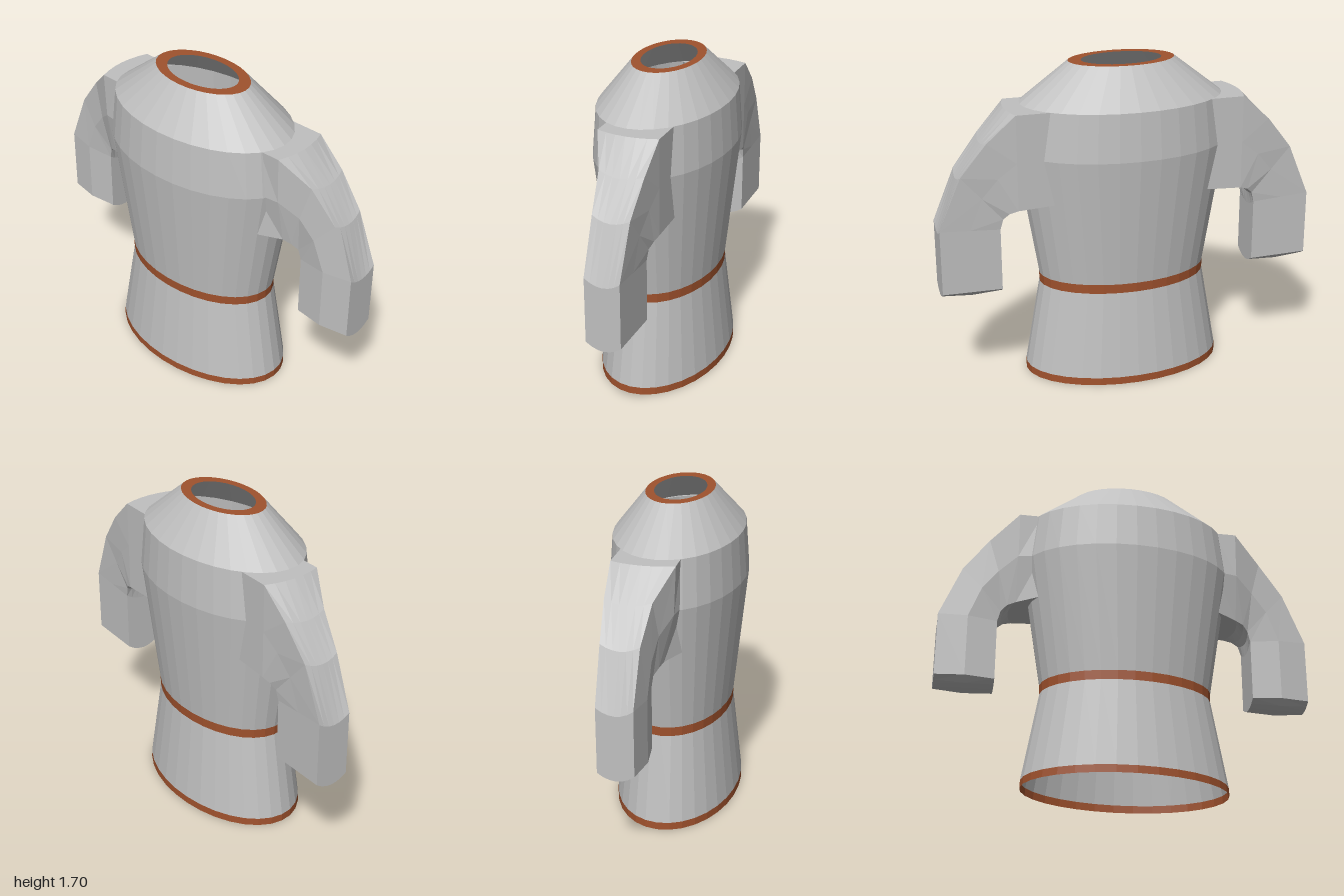
import * as THREE from 'three';

const cloth = new THREE.MeshStandardMaterial({ color: 0xc0c0c0, flatShading: true, side: THREE.DoubleSide });
cloth.name = 'grey cloth';
const trim = new THREE.MeshStandardMaterial({ color: 0xa0522d, flatShading: true, side: THREE.DoubleSide });
trim.name = 'brown trim';

const WIDEN = 1.63; // the torso is an ellipse, wider in x than in z

// Elliptical band of the torso from [depth radius, height] pairs
function band(name, profile, material) {
  const geo = new THREE.LatheGeometry(profile.map(([r, y]) => new THREE.Vector2(r, y)), 32);
  geo.scale(WIDEN, 1, 1);
  const mesh = new THREE.Mesh(geo, material);
  mesh.name = name;
  return mesh;
}

// Sleeve stations: outer edge, inner edge, [front z outer, middle, inner],
// back z, and the direction in which the station bows at mid depth
const STATIONS = [
  { o: [0, 1.5], i: [0, 1.01], f: [0.12, 0.13, 0.13], b: -0.2, bow: [0, 0], onBody: true },
  { o: [0.6, 1.5], i: [0.6, 1.0], f: [0.12, 0.11, 0.06], b: -0.2, bow: [0.03, 0] },
  { o: [0.75, 1.365], i: [0.645, 0.985], f: [0.045, 0.06, 0.045], b: -0.19, bow: [0.02, -0.02] },
  { o: [0.885, 1.195], i: [0.675, 0.955], f: [0.02, 0.045, 0.025], b: -0.175, bow: [0.012, -0.025] },
  { o: [1.0, 0.92], i: [0.69, 0.9], f: [0.015, 0.04, 0.02], b: -0.17, bow: [0, -0.035] },
  { o: [1.0, 0.575], i: [0.69, 0.57], f: [0.015, 0.04, 0.02], b: -0.17, bow: [0, -0.035] },
];
const N = 6; // steps across the depth

// One row of points from front to back at a station
function row(s, [x, y], zf) {
  const pts = [];
  for (let j = 0; j <= N; j++) {
    const t = j / N;
    const z = zf + (s.b - zf) * t;
    const k = 4 * t * (1 - t);
    const px = s.onBody ? 0.535 * Math.sqrt(1 - (z / 0.33) ** 2) - 0.015 : x + s.bow[0] * k;
    pts.push([px, y + s.bow[1] * k, z]);
  }
  return pts;
}

function sleeve(side) {
  const pos = [];
  const tri = (a, b, c) => {
    for (const p of side > 0 ? [a, b, c] : [a, c, b]) pos.push(p[0] * side, p[1], p[2]);
  };
  const quad = (a, b, c, d) => { tri(a, c, b); tri(b, c, d); };

  const rows = STATIONS.map((s) => {
    const mid = [(s.o[0] + s.i[0]) / 2, (s.o[1] + s.i[1]) / 2];
    return [row(s, s.o, s.f[0]), row(s, mid, s.f[1]), row(s, s.i, s.f[2])];
  });
  // Gentle dome across the cuff end
  rows[rows.length - 1][1].forEach((p, j) => { if (j > 0 && j < N) p[1] -= 0.012; });

  // Skin between neighbouring stations
  const rings = rows.map(([o, m, i]) => [...o, m[N], ...[...i].reverse(), m[0]]);
  for (let s = 0; s < rings.length - 1; s++) {
    const A = rings[s], B = rings[s + 1];
    for (let k = 0; k < A.length; k++) {
      const n = (k + 1) % A.length;
      quad(A[k], A[n], B[k], B[n]);
    }
  }
  // Closed cuff end
  const end = rows[rows.length - 1];
  for (let r = 0; r < 2; r++) {
    for (let j = 0; j < N; j++) quad(end[r][j], end[r][j + 1], end[r + 1][j], end[r + 1][j + 1]);
  }

  const geo = new THREE.BufferGeometry();
  geo.setAttribute('position', new THREE.Float32BufferAttribute(pos, 3));
  geo.computeVertexNormals();
  const mesh = new THREE.Mesh(geo, cloth);
  mesh.name = side > 0 ? 'leftSleeve' : 'rightSleeve';
  return mesh;
}

export function createModel() {
  const group = new THREE.Group();
  group.name = 'tunic';
  group.add(
    band('hemTrim', [[0.33, 0], [0.329, 0.04]], trim),
    band('skirt', [[0.329, 0.04], [0.278, 0.51]], cloth),
    band('waistTrim', [[0.278, 0.51], [0.279, 0.56]], trim),
    band('chest', [[0.279, 0.56], [0.348, 1.25], [0.33, 1.5]], cloth),
    band('shoulders', [[0.33, 1.5], [0.172, 1.7]], cloth),
    band('neckTrim', [[0.172, 1.7], [0.13, 1.7]], trim),
    sleeve(1),
    sleeve(-1),
  );
  return group;
}
